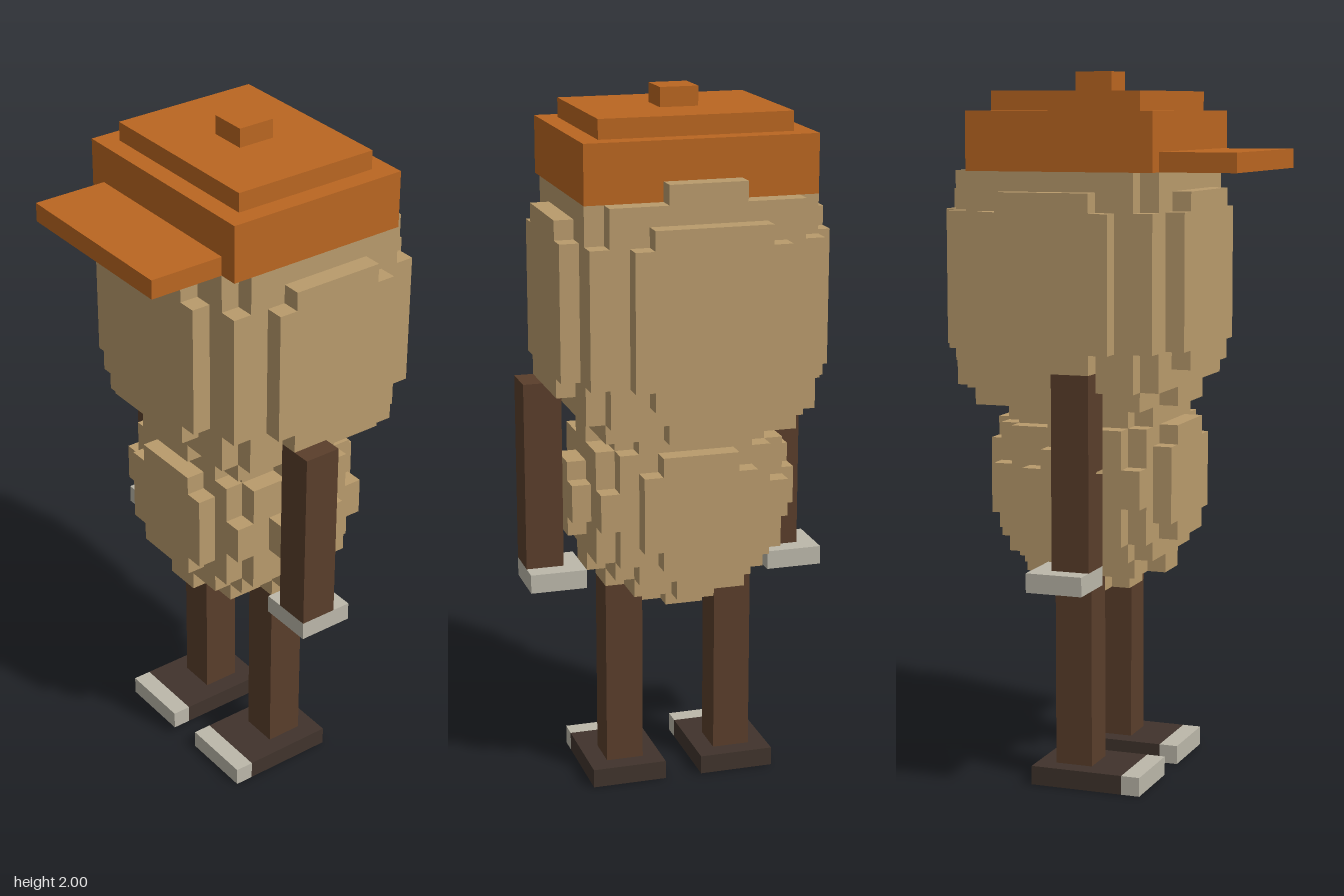
import * as THREE from 'three';
import { mergeGeometries } from 'three/addons/utils/BufferGeometryUtils.js';

const U = 2 / 37; // size of one block

const mat = (name, color) => {
  const m = new THREE.MeshStandardMaterial({ color });
  m.name = name;
  return m;
};

// Box from block bounds [x0, x1, y0, y1, z0, z1]
function block([x0, x1, y0, y1, z0, z1]) {
  const g = new THREE.BoxGeometry((x1 - x0) * U, (y1 - y0) * U, (z1 - z0) * U);
  return g.translate((x0 + x1) / 2 * U, (y0 + y1) / 2 * U, (z0 + z1) / 2 * U);
}

function part(name, material, ...boxes) {
  const mesh = new THREE.Mesh(mergeGeometries(boxes.map(block)), material);
  mesh.name = name;
  return mesh;
}

// Rows of blocks filling a slightly flattened ball
function blockBall(cy, cz, radius2, zWeight) {
  const rows = [];
  for (let y = -6; y < 6; y++) {
    for (let z = -6; z < 6; z++) {
      const rest = radius2 - (y + 0.5) ** 2 - zWeight * (z + 0.5) ** 2;
      if (rest < 0.25) continue;
      const half = Math.floor(Math.sqrt(rest) + 0.5);
      rows.push([-half, half, cy + y, cy + y + 1, cz + z, cz + z + 1]);
    }
  }
  return rows;
}

export function createModel() {
  const tan = mat('tan', 0xb99b6c);
  const orange = mat('orange', 0xba6621);
  const brown = mat('brown', 0x5a3e2b);
  const grey = mat('pale grey', 0xbcb8aa);
  const dark = mat('dark brown', 0x40332c);
  const model = new THREE.Group();
  model.name = 'figure';

  // Torso
  model.add(part('torso', tan, ...blockBall(16, -1, 34.5, 1.13)));

  // Head: stepped core with raised plates on every side
  model.add(part('head', tan,
    [-4, 4, 19, 20, -4, 1],
    [-5, 5, 20, 32, -6, 3],
    [-6, 6, 21, 32, -6, 3],
    [-5, 5, 21, 32, -7, 4],
    [-6, 6, 23, 30, -7, 4],
    [-2, 2, 20, 32, -7, 4],
    [-2, 2, 32, 33, -7, -5],
    [-7, 7, 23, 30, -5, 2],
    [-7, 7, 22, 31, -4, 1],
    [-4, 4, 23, 30, -8, 5],
    [-3, 3, 22, 31, -8, 5]));

  // Cap
  model.add(part('capCrown', orange, [-6, 6, 32, 35, -6, 4], [-5, 5, 35, 36, -5, 3]));
  model.add(part('capBrim', orange, [-5, 5, 32, 33, 4, 8]));
  model.add(part('capButton', orange, [-1, 1, 36, 37, -2, 0]));

  // Arms and hands, the right arm set one block closer
  model.add(part('leftArm', brown, [6, 8, 12, 22, -1, 1]));
  model.add(part('leftHand', grey, [5, 8, 11, 12, -2, 1]));
  model.add(part('rightArm', brown, [-7, -5, 12, 22, -1, 1]));
  model.add(part('rightHand', grey, [-8, -5, 11, 12, -2, 1]));

  // Legs, shoes and toe caps
  for (const [side, x] of [['left', 3], ['right', -3]]) {
    model.add(part(side + 'Leg', brown, [x - 1, x + 1, 1, 11, -2, 0]));
    model.add(part(side + 'Shoe', dark, [x - 2, x + 2, 0, 1, -3, 2]));
    model.add(part(side + 'ToeCap', grey, [x - 2, x + 2, 0, 1, 2, 3]));
  }
  return model;
}
